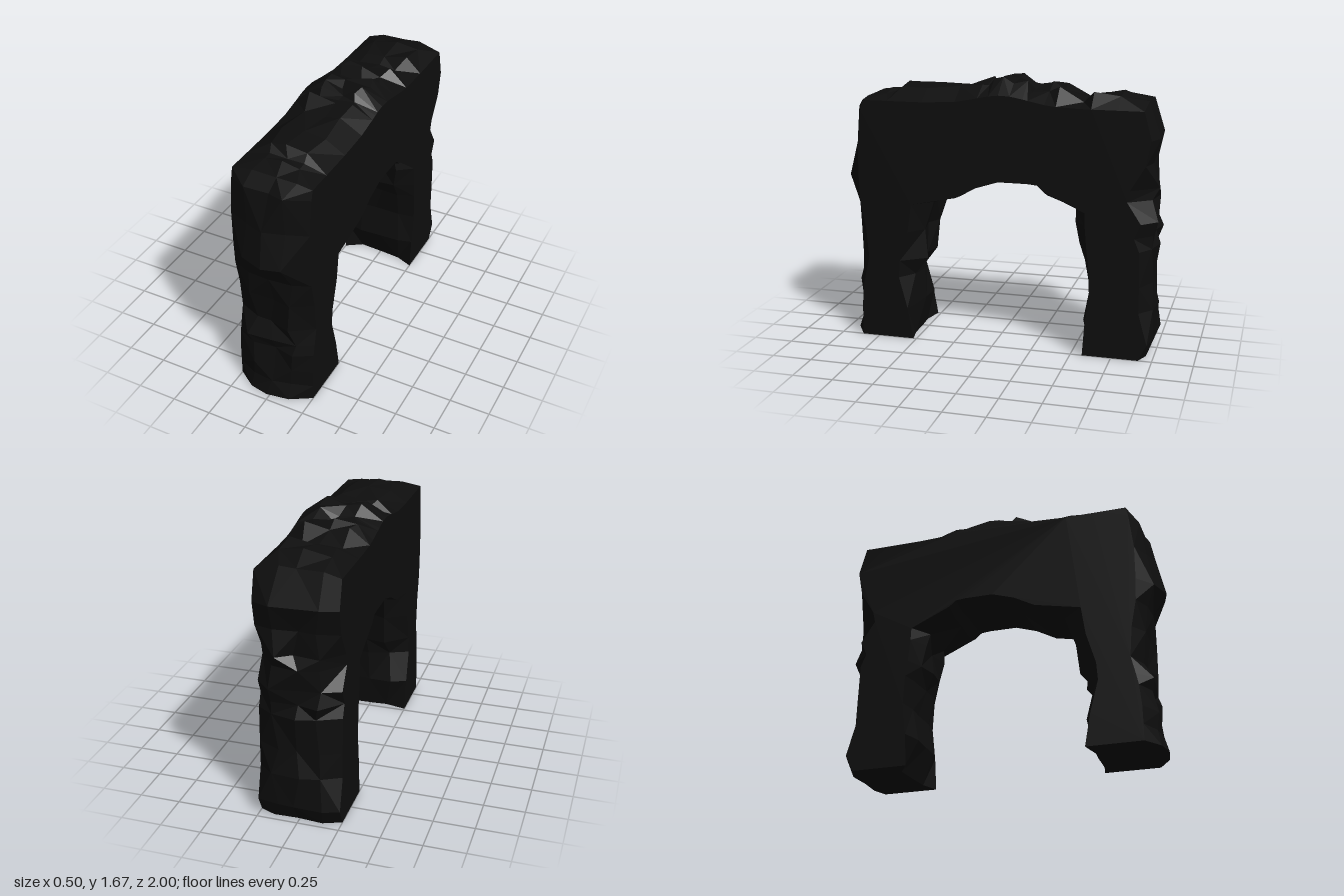
import * as THREE from 'three';

const HALF = 0.25;                       // half the thickness of the arch
const COLUMNS = [-HALF, -0.13, 0, 0.13, HALF];

// Ridge lines as z, y (front foot -> over the top -> back foot)
const OUTER = [
  [0.96, 0], [0.93, 0.1], [0.93, 0.21], [0.91, 0.34], [0.92, 0.41], [0.9, 0.52], [0.9, 0.71],
  [0.91, 0.88], [1, 1.02], [0.95, 1.24], [0.9, 1.46], [0.82, 1.54], [0.71, 1.57], [0.66, 1.56],
  [0.61, 1.61], [0.44, 1.61], [0.23, 1.61], [0.09, 1.64], [0.05, 1.62], [0.02, 1.66],
  [-0.04, 1.675], [-0.11, 1.67], [-0.19, 1.655], [-0.22, 1.61], [-0.32, 1.64], [-0.39, 1.63],
  [-0.53, 1.555], [-0.6, 1.61], [-0.76, 1.61], [-0.92, 1.56], [-1, 1.35], [-0.96, 1.2],
  [-1, 1.05], [-0.99, 0.98], [-1, 0.85], [-1, 0.76], [-1, 0.68], [-0.975, 0.46], [-1, 0.3],
  [-1, 0.1], [-0.96, 0],
];
const INNER = [
  [0.55, 0], [0.51, 0.2], [0.515, 0.4], [0.45, 0.51], [0.45, 0.7], [0.39, 0.88], [0.23, 0.93],
  [0.1, 1], [-0.04, 1.045], [-0.22, 1.045], [-0.28, 1.03], [-0.32, 0.97], [-0.46, 0.9],
  [-0.5, 0.82], [-0.51, 0.68], [-0.56, 0.58], [-0.59, 0.4], [-0.55, 0.2], [-0.64, 0],
];

const bump = (t, centre, width) => Math.exp(-(((t - centre) / width) ** 2));

// Rims of the flat sides: the ridge lines trimmed, with a waisted front and a dented back
function outerRim([z, y]) {
  const front = 0.86 - 0.06 * bump(y, 0.58, 0.2) - 0.03 * bump(y, 1.5, 0.1);
  const back = -0.91 - 0.05 * bump(y, 1.32, 0.12) + 0.11 * bump(y, 1.01, 0.06)
    + 0.04 * bump(y, 0.75, 0.05) - 0.06 * bump(y, 0.12, 0.08);
  const top = 1.52 + 0.06 * bump(z, -0.06, 0.22);
  return [THREE.MathUtils.clamp(z, back, front), Math.min(y, top)];
}
function innerRim([z, y]) {
  if (y > 0.91) return [z, y + 0.01 + 0.04 * bump(z, -0.34, 0.05)];
  if (z > 0) return [0.515 + 0.095 * bump(y, 0.43, 0.25), y];
  return [-0.57 - 0.04 * bump(y, 0.45, 0.25), y];
}

function seeded(seed) {
  return () => {
    seed = (seed * 16807) % 2147483647;
    return seed / 2147483647;
  };
}

// Rows of points across the thickness, swelling unevenly from the rims to the ridge
function makeRows(ridge, rim, random) {
  return ridge.map(([z, y], i) => {
    const [rimZ, rimY] = rim[i];
    const pick = 1 + Math.floor(random() * 3);
    const crest = z > 0.94 ? 2 : pick;   // the front bulge peaks in the middle
    return COLUMNS.map((x, j) => {
      if (Math.abs(x) === HALF) return new THREE.Vector3(x, rimY, rimZ);
      const swell = j === crest ? 1 : 0.5 + 0.4 * random();
      const shift = (random() - 0.5) * 0.06;
      return new THREE.Vector3(
        x + shift,
        THREE.MathUtils.lerp(rimY, y, swell),
        THREE.MathUtils.lerp(rimZ, z, swell),
      );
    });
  });
}

// Faceted skin through successive rows, with alternating diagonals
function skin(rows, flip = false) {
  const points = [];
  const tri = (a, b, c) => points.push(a, flip ? c : b, flip ? b : c);
  for (let i = 0; i < rows.length - 1; i++) {
    for (let j = 0; j < COLUMNS.length - 1; j++) {
      const a = rows[i][j], b = rows[i][j + 1], c = rows[i + 1][j + 1], d = rows[i + 1][j];
      if ((i + j) % 2) { tri(a, b, c); tri(a, c, d); }
      else { tri(a, b, d); tri(b, c, d); }
    }
  }
  const geometry = new THREE.BufferGeometry().setFromPoints(points);
  geometry.computeVertexNormals();
  return geometry;
}

// Flat arch-shaped side face inside the rims
function sideFace(outline, side) {
  const shape = new THREE.Shape(outline.map(([z, y]) => new THREE.Vector2(-side * z, y)));
  return new THREE.ShapeGeometry(shape)
    .rotateY(side * Math.PI / 2)
    .translate(side * HALF, 0, 0);
}

export function createModel() {
  const arch = new THREE.Group();
  arch.name = 'rockArch';
  const rock = new THREE.MeshStandardMaterial({ color: 0x0e0e0e, flatShading: true });
  const add = (name, geometry) => {
    const mesh = new THREE.Mesh(geometry, rock);
    mesh.name = name;
    arch.add(mesh);
  };

  const random = seeded(4217);
  const outside = OUTER.map(outerRim);
  const inside = INNER.map(innerRim);
  const outer = makeRows(OUTER, outside, random);
  const inner = makeRows(INNER, inside, random);

  // Rough outside and underside of the arch
  add('outerRock', skin(outer));
  add('innerRock', skin(inner, true));

  // Smooth cut sides
  const outline = [...outside, ...inside.reverse()];
  add('leftSide', sideFace(outline, 1));
  add('rightSide', sideFace(outline, -1));

  // Undersides of the two feet
  add('frontFootBase', skin([inner[0], outer[0]]));
  add('backFootBase', skin([outer.at(-1), inner.at(-1)]));
  return arch;
}
